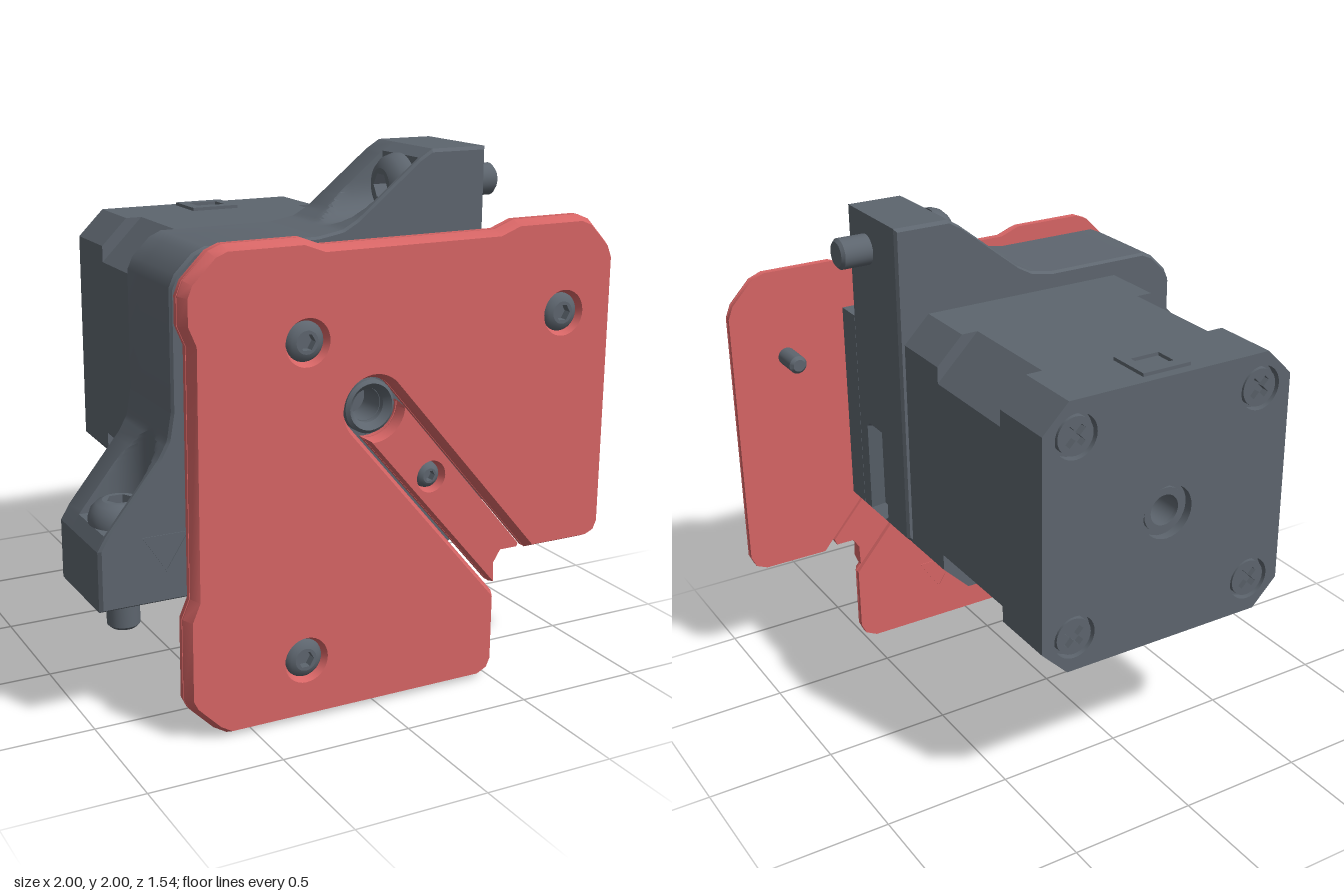
import * as THREE from 'three';
import { toCreasedNormals } from 'three/addons/utils/BufferGeometryUtils.js';

const red = new THREE.MeshStandardMaterial({ color: 0xd66565, side: THREE.DoubleSide });
red.name = 'red plate';
const grey = new THREE.MeshStandardMaterial({ color: 0x5d656e, side: THREE.DoubleSide });
grey.name = 'slate grey';

const CX = -0.025, CY = 1.13; // drive axis
const V = (x, y) => new THREE.Vector2(x, y);
const circle = (x, y, r, n = 32) =>
  Array.from({ length: n }, (_, i) => V(x + r * Math.cos(i / n * 2 * Math.PI), y + r * Math.sin(i / n * 2 * Math.PI)));

function mesh(name, geometry, material, parent) {
  const m = new THREE.Mesh(geometry, material);
  m.name = name;
  parent.add(m);
  return m;
}

function shapeOf(points, holes = []) {
  const s = new THREE.Shape(points);
  for (const h of holes) s.holes.push(new THREE.Path(h));
  return s;
}

// straight slab between two z values
function slab(points, holes, z0, z1) {
  const g = new THREE.ExtrudeGeometry(shapeOf(points, holes), { depth: z1 - z0, bevelEnabled: false });
  return toCreasedNormals(g.translate(0, 0, z0), 0.5);
}

// slab whose front edges taper inwards, with a plain back layer
function taperedPlate(name, points, holes, taper, parent) {
  const g = new THREE.ExtrudeGeometry(shapeOf(points, holes), {
    depth: 0.005, bevelThickness: 0.04, bevelSize: taper, bevelOffset: -taper, bevelSegments: 1,
  }).translate(0, 0, 0.725);
  const p = g.attributes.position;
  for (let i = 0; i < p.count; i++) p.setZ(i, Math.max(p.getZ(i), 0.708));
  g.computeVertexNormals();
  mesh(name + 'Front', toCreasedNormals(g, 0.5), red, parent);
  mesh(name + 'Back', slab(points, [], 0.7, 0.72), red, parent);
}

// domed screw head with a hex socket, base at the origin, facing +z
function screwHead(r, h) {
  const g = new THREE.Group();
  g.name = 'screwHead';
  const dome = new THREE.LatheGeometry([V(r, 0), V(r, 0.25 * h), V(0.92 * r, 0.6 * h), V(0.75 * r, 0.87 * h), V(0.55 * r, h)], 32);
  mesh('dome', dome.rotateX(Math.PI / 2), grey, g);
  mesh('socket', slab(circle(0, 0, 0.55 * r), [circle(0, 0, 0.42 * r, 6)], 0.3 * h, h), grey, g);
  mesh('socketFloor', new THREE.CircleGeometry(0.55 * r, 24).translate(0, 0, 0.3 * h), grey, g);
  return g;
}

function rod(name, r, z0, z1, parent) {
  const c = 0.012;
  const g = new THREE.LatheGeometry([V(0, z0), V(r - c, z0), V(r, z0 + c), V(r, z1), V(0, z1)], 24);
  return mesh(name, toCreasedNormals(g.rotateX(Math.PI / 2), 0.5), grey, parent);
}

// rectangle with 45 degree corners
function octagon(x0, x1, y0, y1, c) {
  return [V(x0 + c, y0), V(x1 - c, y0), V(x1, y0 + c), V(x1, y1 - c), V(x1 - c, y1), V(x0 + c, y1), V(x0, y1 - c), V(x0, y0 + c)];
}

// points along and across the diagonal slot
const P = (u, v) => V(CX + 0.654 * u + 0.756 * v, CY - 0.756 * u + 0.654 * v);
const slotArc = (r, a0, a1, n) => Array.from({ length: n + 1 }, (_, i) => {
  const a = a0 + (a1 - a0) * i / n;
  return P(r * Math.cos(a), r * Math.sin(a));
});

function buildPlate(root) {
  const g = new THREE.Group();
  g.name = 'facePlate';
  root.add(g);
  const screws = [[-0.29, 1.395], [0.77, 1.395], [-0.29, 0.23]];
  const outline = [
    [-0.75, 0.16], [-0.73, 0.12], [-0.64, 0.03], [-0.59, 0], [0.45, 0], [0.5, 0.025], [0.52, 0.07], [0.52, 0.335],
  ].map(p => V(...p)).concat(slotArc(0.105, -Math.PI / 2, -1.5 * Math.PI, 20), [
    [0.667, 0.485], [0.93, 0.485], [0.975, 0.505], [0.995, 0.55], [0.995, 1.59], [0.975, 1.64], [0.89, 1.73], [0.84, 1.75],
    [0.56, 1.75], [0.48, 1.72], [-0.22, 1.72], [-0.3, 1.75], [-0.59, 1.75], [-0.64, 1.73], [-0.73, 1.64], [-0.75, 1.59],
    [-0.75, 1.49], [-0.72, 1.42], [-0.72, 0.53], [-0.75, 0.46],
  ].map(p => V(...p)));
  taperedPlate('plate', outline, screws.map(([x, y]) => circle(x, y, 0.066)), 0.02, g);
  for (const [x, y] of screws) {
    const head = screwHead(0.076, 0.045);
    head.position.set(x, y, 0.721);
    g.add(head);
    rod('screwTail', 0.036, 0.58, 0.705, g).position.set(x, y, 0);
  }
  // latch arm in the slot
  const a = Math.atan2(0.092, 0.069);
  const arm = [P(0.92, -0.092), V(0.51, 0.46), V(0.535, 0.5), V(0.61, 0.5), P(0.88, 0.092), ...slotArc(0.115, a, -a, 10)];
  taperedPlate('latchArm', arm, [circle(0.215, 0.845, 0.05)], 0.01, g);
  const small = screwHead(0.05, 0.04);
  small.position.set(0.215, 0.845, 0.721);
  g.add(small);
  mesh('plateMark', triangleMark(0.13, 0.23, 0.697), red, g);
}

function triangleMark(x, y, z) {
  const t = s => [V(x - 0.09 * s, y + 0.055 * s), V(x, y - 0.085 * s), V(x + 0.09 * s, y + 0.055 * s)];
  return slab(t(1), [t(0.85)], z, z + 0.004);
}

// bracket cross-section: cut is the pocket floor height, dent the depth of the side recesses
const mirror = p => V(1 - p.y, 1 - p.x);
function bracketProfile(cut, dent) {
  const slope = [[0.25, 1.97], [0.2, 1.93], [0, 1.77], [-0.06, 1.737], [-0.16, 1.72]];
  const top = [V(0.52, 2), V(0.3, 2), V(0.25, 1.97)];
  for (let i = 0; i <= 28; i++) {
    const x = 0.25 - 0.41 * i / 28;
    const k = Math.max(1, slope.findIndex(s => s[0] <= x + 1e-6));
    const [xa, ya] = slope[k - 1], [xb, yb] = slope[k];
    top.push(V(x, Math.min(cut, ya + (yb - ya) * (x - xa) / (xb - xa))));
  }
  top.push(V(-0.59, 1.72), V(-0.635, 1.7));
  const right = [V(0.52, 0.73), V(0.52 - dent, 0.75), V(0.52 - dent, 1.1), V(0.52, 1.12)];
  return [...top, ...top.map(mirror).reverse(), ...right.map(mirror).reverse(), ...right];
}

function buildBracket(root) {
  const g = new THREE.Group();
  g.name = 'bracket';
  root.add(g);
  const R = 0.125, mid = 0.45;
  const inset = pts => pts.map(p => V(-0.1 + (p.x + 0.1) * 0.987, 1.1 + (p.y - 1.1) * 0.987));
  const plain = bracketProfile(9, 0), rim = inset(plain);
  const slices = [[0.2, rim], [0.214, plain], [mid - R, plain]];
  for (const t of [-0.125, -0.12, -0.11, -0.095, -0.075, -0.05, -0.025, 0, 0.025, 0.05, 0.075, 0.095, 0.11, 0.12, 0.125]) {
    const dent = 0.05 * Math.min(1, Math.max(0, (0.075 - Math.abs(t)) / 0.025));
    slices.push([mid + t, bracketProfile(1.86 - Math.sqrt(R * R - t * t), dent)]);
  }
  slices.push([mid + R, plain], [0.588, plain], [0.6, rim]);
  const pos = [], idx = [], n = plain.length;
  slices.forEach(([z, pts], i) => {
    for (const p of pts) pos.push(p.x, p.y, z);
    if (i) for (let j = 0; j < n; j++) {
      const a = (i - 1) * n + j, b = (i - 1) * n + (j + 1) % n;
      idx.push(a, b, a + n, b, b + n, a + n);
    }
  });
  const wall = new THREE.BufferGeometry();
  wall.setAttribute('position', new THREE.Float32BufferAttribute(pos, 3));
  wall.setIndex(idx);
  mesh('bracketSides', toCreasedNormals(wall, 0.45), grey, g);
  const cap = () => new THREE.ShapeGeometry(shapeOf(rim, [circle(CX, CY, 0.06)]));
  mesh('bracketFront', cap().translate(0, 0, 0.6), grey, g);
  const back = cap().scale(-1, 1, 1).rotateY(Math.PI);
  mesh('bracketBack', back.translate(0, 0, 0.2), grey, g);

  // boss that meets the plate
  const boss = [V(-0.55, 0.48), V(0.27, 0.48), V(0.52, 0.73), V(0.52, 1.55), V(-0.45, 1.55), V(-0.55, 1.45)];
  mesh('boss', slab(boss, [circle(CX, CY, 0.06)], 0.59, 0.7), grey, g);
  const collar = new THREE.LatheGeometry([V(0.098, 0.69), V(0.098, 0.735), V(0.085, 0.745), V(0.062, 0.72), V(0.062, 0.69)], 32);
  mesh('collar', toCreasedNormals(collar.rotateX(Math.PI / 2), 0.4).translate(CX, CY, 0), grey, g);
  mesh('bracketMark', triangleMark(-0.75, 0.675, 0.599), grey, g);

  // the two clamp bolts, one across and one upright
  const across = new THREE.Group();
  across.name = 'acrossBolt';
  across.position.set(0, 1.86, mid);
  across.rotation.y = -Math.PI / 2;
  const upright = new THREE.Group();
  upright.name = 'uprightBolt';
  upright.position.set(-0.86, 0, mid);
  upright.rotation.x = -Math.PI / 2;
  for (const [bolt, seat, tip] of [[across, -0.25, -0.645], [upright, 0.75, 0.355]]) {
    const head = screwHead(0.115, 0.08);
    head.position.z = seat;
    bolt.add(head);
    rod('boltShank', 0.06, tip, tip + 0.2, bolt);
    g.add(bolt);
  }
}

function buildMotor(root) {
  const g = new THREE.Group();
  g.name = 'motor';
  root.add(g);
  const body = c => octagon(-0.55, 0.5, 0.603, 1.655, c);
  const bore = circle(CX, CY, 0.06), wide = circle(CX, CY, 0.105);
  const corners = [];
  for (const sx of [-1, 1]) for (const sy of [-1, 1]) corners.push([CX + sx * 0.39, CY + sy * 0.39]);
  mesh('frontCasing', slab(body(0.105), [bore], -0.055, 0.21), grey, g);
  mesh('middleCasing', slab(body(0.17), [bore], -0.5, -0.055), grey, g);
  mesh('rearCasing', slab(body(0.105), [bore], -0.735, -0.5), grey, g);
  mesh('rearCover', slab(body(0.105), [wide, ...corners.map(([x, y]) => circle(x, y, 0.085))], -0.77, -0.735), grey, g);
  mesh('rearBearing', slab(circle(CX, CY, 0.088), [bore], -0.75, -0.735), grey, g);

  // cross-slotted screws at the rear corners
  const a = 0.012, b = 0.045;
  const cross = [[b, -a], [b, a], [a, a], [a, b], [-a, b], [-a, a], [-b, a], [-b, -a], [-a, -a], [-a, -b], [a, -b], [a, -a]].map(p => V(...p));
  for (const [x, y] of corners) {
    const s = mesh('rearScrew', slab(circle(0, 0, 0.072), [cross], -0.765, -0.735), grey, g);
    s.position.set(x, y, 0);
    s.rotation.z = Math.PI / 4;
  }
  // cable socket on top
  const rect = (x0, x1, y0, y1) => [V(x0, y0), V(x1, y0), V(x1, y1), V(x0, y1)];
  const socket = slab(rect(-0.13, 0.07, 0.55, 0.73), [rect(-0.088, 0.03, 0.597, 0.687)], 0, 0.02);
  mesh('cableSocket', socket.rotateX(-Math.PI / 2).translate(0, 1.648, 0), grey, g);
}

export function createModel() {
  const root = new THREE.Group();
  root.name = 'motorMount';
  buildPlate(root);
  buildBracket(root);
  buildMotor(root);
  return root;
}
